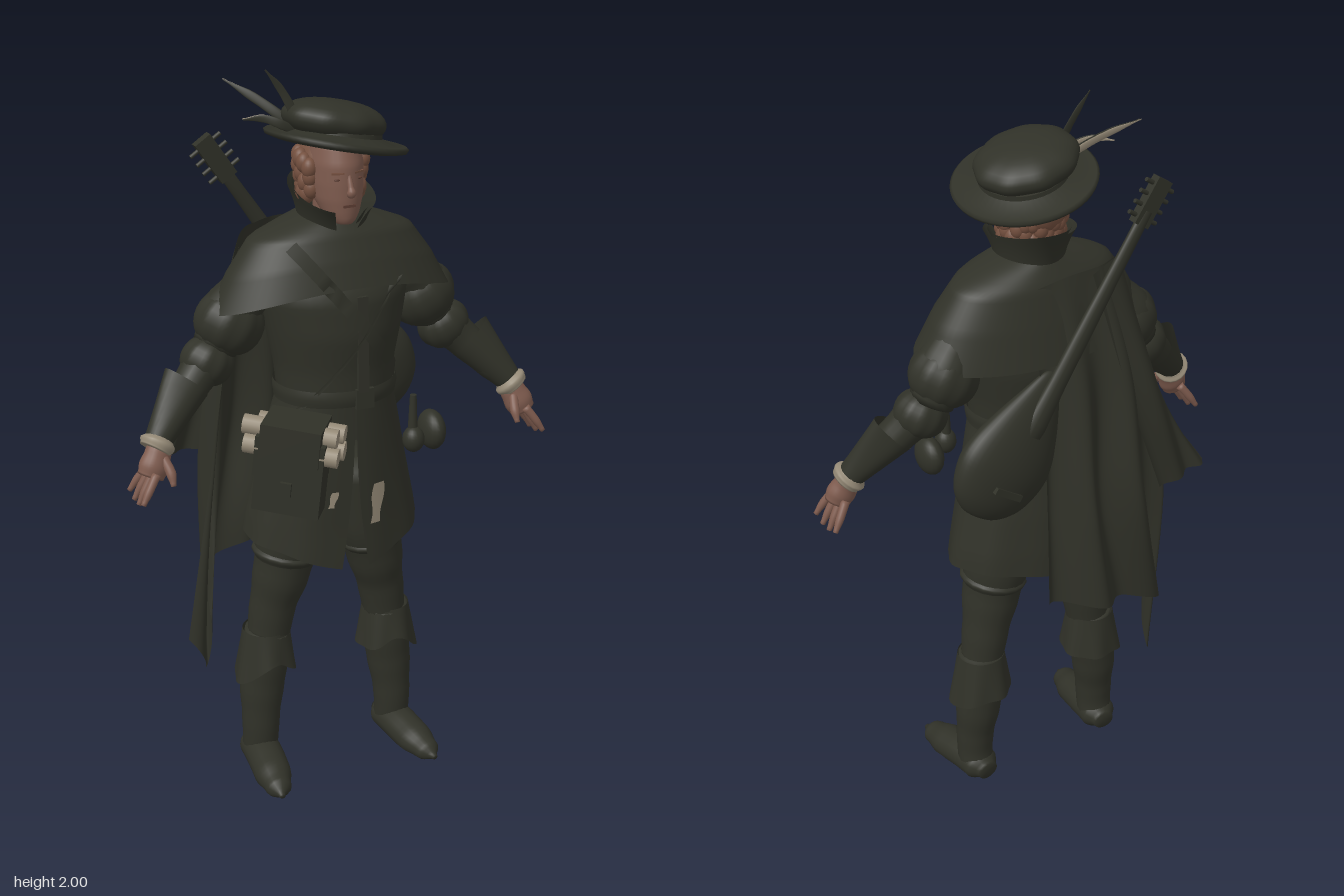
import * as THREE from 'three';
import { mergeVertices } from 'three/addons/utils/BufferGeometryUtils.js';

const mat = (name, color) => new THREE.MeshStandardMaterial({ name, color, side: THREE.DoubleSide });
const V = (a) => new THREE.Vector3(...a);
const { lerp } = THREE.MathUtils;
const TAU = Math.PI * 2;

export function createModel() {
  const root = new THREE.Group();
  const cloth = mat('dark olive cloth', 0x303128);
  const skin = mat('skin', 0x7e5b4e);
  const hairMat = mat('auburn hair', 0x74503f);
  const lipMat = mat('lips and brows', 0x5f3f34);
  const paper = mat('parchment', 0x958a77);

  const add = (name, geo, m, parent = root) => {
    const mesh = new THREE.Mesh(geo, m);
    mesh.name = name;
    parent.add(mesh);
    return mesh;
  };
  const ball = (name, m, p, s, parent = root) => {
    const b = add(name, new THREE.SphereGeometry(1, 20, 14), m, parent);
    b.position.set(...p); b.scale.set(...s);
    return b;
  };
  const box = (name, m, p, s, parent = root) => {
    const b = add(name, new THREE.BoxGeometry(...s), m, parent);
    b.position.set(...p);
    return b;
  };

  // Smooth surface from a rule f(u, v) -> [x, y, z]
  function grid(nu, nv, f) {
    const pos = [], idx = [];
    for (let j = 0; j <= nv; j++) for (let i = 0; i <= nu; i++) pos.push(...f(i / nu, j / nv));
    for (let j = 0; j < nv; j++) for (let i = 0; i < nu; i++) {
      const a = j * (nu + 1) + i, b = a + nu + 1;
      idx.push(a, b, a + 1, b, b + 1, a + 1);
    }
    let g = new THREE.BufferGeometry();
    g.setAttribute('position', new THREE.Float32BufferAttribute(pos, 3));
    g.setIndex(idx);
    g = mergeVertices(g, 1e-5);
    g.computeVertexNormals();
    return g;
  }

  // Round limb through points [x, y, z, radius], closed at both ends
  function limb(pts, { flat = 1, ref = [0, 0, 1], s = 1 } = {}) {
    const curve = new THREE.CatmullRomCurve3(pts.map(p => V(p)));
    const n = pts.length - 1, nv = n * 5 + 2;
    return grid(18, nv, (u, v) => {
      const j = Math.round(v * nv), t = Math.min(1, Math.max(0, (j - 1) / (nv - 2)));
      const k = Math.min(n - 1, Math.floor(t * n));
      const w = t * n - k;
      const r = j === 0 || j === nv ? 0 : lerp(pts[k][3], pts[k + 1][3], w * w * (3 - 2 * w));
      const tan = curve.getTangent(t), a = V(ref).cross(tan).normalize(), b = tan.clone().cross(a);
      const p = curve.getPoint(t).addScaledVector(a, r * Math.cos(u * TAU)).addScaledVector(b, r * flat * Math.sin(u * TAU));
      return [p.x * s, Math.max(0, p.y), p.z];
    });
  }

  // Cloth patch through rows of control points, with hanging folds
  function patch(rows, nu, nv, fold, waves, crest) {
    const curves = rows.map(r => new THREE.CatmullRomCurve3(r.map(V)));
    return grid(nu, nv, (u, v) => {
      const p = new THREE.CatmullRomCurve3(curves.map(c => c.getPoint(u))).getPoint(v);
      const f = -fold * Math.cos((u - crest) * waves * TAU) * Math.min(1, v * 1.4);
      return [p.x + f * 0.3, p.y, p.z + f];
    });
  }

  // Section tables [y, rx, rz, cz] and their interpolation
  const coat = [[1.6, .07, .07, 0], [1.56, .15, .09, 0], [1.5, .195, .12, .005], [1.42, .205, .15, .02], [1.32, .185, .155, .022],
    [1.22, .165, .14, .025], [1.14, .158, .135, .03], [1.05, .18, .145, .02], [.9, .213, .155, .01], [.78, .24, .16, .005], [.62, .265, .165, .005]];
  const mantleRows = [[1.62, .08, .085, 0], [1.597, .15, .1, 0], [1.567, .225, .118, 0], [1.48, .288, .145, .002], [1.385, .338, .17, .003]];
  const section = (rows, y) => {
    let k = 0;
    while (k < rows.length - 2 && rows[k + 1][0] > y) k++;
    const t = Math.min(1, Math.max(0, (rows[k][0] - y) / (rows[k][0] - rows[k + 1][0])));
    return [1, 2, 3].map(i => lerp(rows[k][i], rows[k + 1][i], t));
  };
  const around = (rows, y, th, grow = 1) => {
    const [rx, rz, cz] = section(rows, y);
    return [Math.sin(th) * rx * grow, y, cz + Math.cos(th) * rz * grow];
  };
  const frontZ = (rows, x, y) => {
    const [rx, rz, cz] = section(rows, y);
    return cz + rz * Math.sqrt(Math.max(0, 1 - (x / rx) ** 2));
  };

  // Doublet and split skirt
  add('doublet', grid(40, 24, (u, v) => around(coat, lerp(1.6, 1.13, v), u * TAU)), cloth);
  add('coatSkirt', grid(72, 18, (u, v) => {
    const d = 0.01 + 0.14 * v * v, th = lerp(d, TAU - d, u), c = Math.cos(th);
    const hem = .68 + .05 * Math.abs(Math.sin(th)) - .03 * Math.max(0, c) ** 4 + .02 * Math.max(0, -c);
    return around(coat, lerp(1.15, hem, v), th, 1.01 + .015 * v * Math.sin(th * 9));
  }), cloth);
  add('belt', grid(48, 4, (u, v) => around(coat, lerp(1.175, 1.13, v), u * TAU, 1.04 + .03 * Math.sin(v * Math.PI))), cloth);
  box('beltBuckle', cloth, [.02, 1.152, .176], [.05, .055, .012]);
  box('frontPlacket', cloth, [.015, 1.3, .172], [.03, .26, .012]).rotation.x = -.04;

  // Shoulder mantle and standing collar
  add('mantle', grid(64, 20, (u, v) => {
    const th = u * TAU, p = around(mantleRows, lerp(1.62, 1.385, v), th, 1 + .006 * v * Math.sin(th * 7));
    p[1] += v * (.07 * Math.max(0, Math.cos(th)) ** 2 - .02 * Math.max(0, -Math.cos(th)));
    return p;
  }), cloth);
  for (const off of [0, -.012])
    add('collar', grid(40, 8, (u, v) => {
      const th = lerp(.25 + .2 * v, TAU - .25 - .2 * v, u), c = Math.cos(th);
      const rx = .082 + .026 * v * v + off, rz = .092 + .05 * v * v + off;
      return [Math.sin(th) * rx, lerp(1.55, 1.675 - .03 * c, v), .01 + c * rz];
    }), cloth);

  // Crossing straps that follow the chest
  const strap = (name, a, b) => add(name, grid(1, 24, (u, v) => {
    const x = lerp(a[0], b[0], v) + (u - .5) * .028, y = lerp(a[1], b[1], v) + (u - .5) * .022;
    return [x, y, Math.max(frontZ(coat, x, y), y > 1.45 ? frontZ(mantleRows, x, y - .05) : 0) + .01];
  }), cloth);
  strap('instrumentStrap', [-.16, 1.57], [.15, 1.18]);
  strap('bagStrap', [.12, 1.46], [-.14, 1.12]);

  // Worn patches on the skirt
  for (const [x, y, w, h] of [[.063, .84, .042, .115], [-.066, .87, .022, .045]])
    add('skirtPatch', grid(6, 10, (u, v) => {
      const px = x + (u - .5) * w * (.8 + .2 * Math.sin(v * 6)) - (v - .5) * .012, py = y + (.5 - v) * h;
      return [px, py, frontZ(coat, px, py) * 1.025 + .006];
    }), paper);

  // Head
  const headRows = [[1.84, .03, .04, .02], [1.81, .062, .085, .02], [1.76, .07, .096, .026], [1.71, .068, .09, .034],
    [1.67, .062, .08, .044], [1.635, .048, .058, .063], [1.61, .028, .032, .085], [1.6, .001, .001, .085]];
  const head = new THREE.Group();
  head.name = 'head';
  root.add(head);
  add('face', grid(32, 28, (u, v) => around(headRows, lerp(1.84, 1.6, v), u * TAU)), skin, head);
  add('neck', limb([[0, 1.5, 0, .055], [0, 1.6, .01, .05], [0, 1.68, .02, .05]]), skin, head);
  add('nose', limb([[0, 1.74, .116, .006], [0, 1.71, .128, .008], [0, 1.695, .133, .012], [0, 1.688, .12, .008]]), skin, head);
  box('mouth', lipMat, [0, 1.659, .12], [.034, .007, .008], head);
  for (const s of [-1, 1]) {
    box('brow', hairMat, [s * .029, 1.744, .113], [.032, .005, .006], head).rotation.y = s * .35;
    ball('eye', lipMat, [s * .028, 1.728, .112], [.011, .004, .005], head);
    ball('ear', skin, [s * .07, 1.705, .02], [.01, .026, .016], head);
  }
  ball('hairCap', hairMat, [0, 1.745, -.005], [.086, .078, .095], head);
  for (let i = 0; i < 51; i++) {
    const th = lerp(1.15, TAU - 1.15, (i % 17) / 16), row = Math.floor(i / 17);
    ball('curl', hairMat, [Math.sin(th) * (.081 - row * .004), 1.755 - row * .038 + .012 * Math.sin(i * 2.3), .005 + Math.cos(th) * (.082 - row * .006)],
      [.021, .027, .021], head);
  }

  // Wide tilted hat with a puffed crown
  const hat = new THREE.Group();
  hat.name = 'hat';
  hat.position.set(.008, 1.795, .018);
  hat.rotation.set(-.1, 0, -.21);
  root.add(hat);
  const brim = add('brim', new THREE.LatheGeometry([[.07, .02], [.11, .012], [.16, -.004], [.183, .002], [.187, .012],
    [.18, .018], [.15, .014], [.1, .035]].map(p => new THREE.Vector2(...p)), 48), cloth, hat);
  brim.scale.z = 1.02;
  add('crown', grid(72, 16, (u, v) => {
    const th = u * TAU, ph = v * Math.PI, r = Math.sin(ph) ** .8 * (1 + .015 * Math.sin(th * 9) * Math.sin(ph));
    return [Math.sin(th) * r * .138 - .014, .06 + Math.cos(ph) * .052, Math.cos(th) * r * .122 + .002];
  }), cloth, hat);
  add('hatBand', new THREE.CylinderGeometry(.115, .12, .03, 40), cloth, hat).position.y = .025;

  // Feathers, dark in front with a pale back
  const feathers = [
    [[-.09, 1.82, .03, .006], [-.11, 1.89, .02, .012], [-.14, 1.95, .01, .01], [-.18, 2, .01, .002]],
    [[-.08, 1.83, 0, .006], [-.13, 1.875, -.03, .013], [-.18, 1.915, -.07, .012], [-.24, 1.955, -.12, .002]],
    [[-.09, 1.83, .02, .006], [-.14, 1.86, .02, .012], [-.18, 1.875, 0, .01], [-.225, 1.87, -.03, .002]],
  ];
  feathers.forEach((pts, i) => {
    add('feather', limb(pts, { flat: .25 }), cloth);
    if (i) add('featherBack', limb(pts.map(([x, y, z, r]) => [x, y + .001, z - .005, r * .85]), { flat: .25 }), paper);
  });

  // Arms, hands, legs and boots on both sides
  for (const s of [1, -1]) {
    const part = (name, pts, m = cloth, o = {}) => add(name, limb(pts, { s, ...o }), m);
    part('upperSleeve', [[.19, 1.46, 0, .055], [.235, 1.42, -.01, .068], [.28, 1.36, -.02, .08], [.32, 1.28, -.02, .06]]);
    for (const [x, y, z, r, l] of [[.278, 1.345, -.018, .095, .082], [.345, 1.25, -.01, .073, .062]]) {
      const puff = add('sleevePuff', grid(48, 14, (u, v) => {
        const ph = v * Math.PI, k = Math.sin(ph) ** .8 * r * (1 + .02 * Math.sin(u * TAU * 10));
        return [Math.sin(u * TAU) * k, Math.cos(ph) * l, Math.cos(u * TAU) * k * .92];
      }), cloth);
      puff.position.set(s * x, y, z);
      puff.rotation.z = s * .5;
    }
    part('forearm', [[.34, 1.26, -.01, .06], [.4, 1.2, .01, .05], [.46, 1.135, .04, .041], [.51, 1.085, .065, .032]]);
    // Flared bracer with a point at the elbow
    const axis = [V([.405, 1.2, .012]), V([.52, 1.078, .068])], dir = axis[1].clone().sub(axis[0]).normalize();
    const a = V([0, 0, 1]).cross(dir).normalize(), b = dir.clone().cross(a);
    add('bracer', grid(32, 6, (u, v) => {
      const th = u * TAU, r = lerp(.054, .035, v), tip = Math.max(0, Math.cos(th)) ** 4 * (1 - v);
      const p = axis[0].clone().lerp(axis[1], v).addScaledVector(a, r * Math.cos(th) + tip * .03).addScaledVector(b, r * Math.sin(th));
      return [p.x * s, p.y, p.z];
    }), cloth);
    part('cuffRuffle', [[.508, 1.09, .062, .036], [.517, 1.078, .068, .048], [.527, 1.065, .073, .042]], paper);
    part('palm', [[.505, 1.09, .064, .024], [.52, 1.055, .078, .03], [.535, 1.025, .086, .034], [.547, 1.0, .09, .03]], skin, { flat: 1.2, ref: [1, .4, 0] });
    for (let i = 0; i < 4; i++) {
      const z = .055 + i * .021, e = (i - 1.5) * .009, l = [.85, 1, 1, .85][i];
      part('finger', [[.54, 1.015, z, .012], [.565, 1.015 - .042 * l, z + e, .011], [.586, 1.012 - .078 * l, z + e * 1.6, .007]], skin);
    }
    part('thumb', [[.513, 1.05, .095, .013], [.503, 1.015, .125, .013], [.503, .985, .142, .007]], skin);

    part('thigh', [[.09, .9, -.01, .1], [.118, .72, -.008, .095], [.142, .6, -.01, .08], [.165, .5, -.018, .066], [.18, .4, -.02, .06]]);
    part('breechesHem', [[.128, .675, -.008, .08], [.132, .655, -.008, .094], [.137, .63, -.008, .08]]);
    part('bootShaft', [[.182, .42, -.02, .064], [.19, .32, -.026, .067], [.199, .24, -.026, .063], [.206, .15, -.02, .054], [.208, .08, -.02, .051], [.208, .03, -.03, .05]]);
    part('foot', [[.203, .035, -.085, .03], [.207, .04, -.045, .053], [.214, .036, .03, .053], [.223, .026, .1, .052], [.232, .018, .165, .037], [.238, .014, .205, .008]],
      cloth, { ref: [0, 1, 0], flat: .9 });
    add('bootCuff', grid(40, 6, (u, v) => {
      const th = u * TAU, side = Math.sin(th), r = lerp(.066, .083, v) + .004 * Math.sin(th * 6) * v;
      const y = lerp(.425, .3 - .03 * Math.max(0, side) ** 3 + .04 * Math.max(0, Math.cos(th)) ** 6, v);
      return [s * (.185 + side * r + .01 * v * Math.max(0, side)), y, -.024 + Math.cos(th) * r];
    }), cloth);
  }

  // Cape hung from the right shoulder, with a side flap
  add('cape', patch([
    [[.08, 1.56, -.11], [-.03, 1.58, -.12], [-.13, 1.58, -.115], [-.21, 1.565, -.07], [-.27, 1.5, .01]],
    [[.07, 1.3, -.155], [-.05, 1.28, -.18], [-.17, 1.3, -.175], [-.27, 1.25, -.13], [-.29, 1.25, -.03]],
    [[.07, 1, -.19], [-.05, .95, -.215], [-.18, .95, -.22], [-.3, .93, -.16], [-.32, .95, -.07]],
    [[.08, .66, -.22], [-.05, .625, -.24], [-.19, .59, -.24], [-.32, .5, -.15], [-.32, .28, -.09], [-.41, .42, -.06]],
  ], 80, 28, .03, 3.4, .21), cloth);
  add('capeFlap', patch([
    [[-.1, 1.57, -.13], [-.21, 1.57, -.08], [-.28, 1.49, .0]],
    [[-.17, 1.25, -.2], [-.29, 1.22, -.17], [-.31, 1.2, -.05]],
    [[-.28, .91, -.22], [-.38, .92, -.2], [-.455, .92, -.18]],
  ], 36, 20, .01, 2, .3), cloth);

  // Stringed instrument slung across the back
  const lute = new THREE.Group();
  lute.name = 'lute';
  lute.position.set(.175, 1.11, -.145);
  lute.rotation.z = .595;
  root.add(lute);
  const pear = [[0, -.16], [.06, -.15], [.115, -.105], [.143, -.03], [.138, .035], [.108, .11], [.068, .19], [.03, .26], [0, .27]];
  const outline = new THREE.SplineCurve(pear.map(p => new THREE.Vector2(...p))).getPoints(40);
  add('luteBody', new THREE.LatheGeometry(outline.map(p => new THREE.Vector2(Math.max(0, p.x), p.y)), 40), cloth, lute).scale.z = .45;
  add('luteNeck', limb([[0, .1, -.03, .034], [0, .3, -.026, .026], [0, .74, -.015, .018]], { flat: .7 }), cloth, lute);
  box('luteHead', cloth, [0, .765, -.012], [.05, .13, .026], lute);
  box('luteBridge', cloth, [0, -.06, -.062], [.09, .018, .014], lute);
  for (let i = 0; i < 4; i++) {
    const peg = add('tuningPeg', new THREE.CylinderGeometry(.006, .006, .1, 8), cloth, lute);
    peg.rotation.z = Math.PI / 2;
    peg.position.set(0, .72 + i * .03, -.012);
  }

  // Satchel with wrapped scrolls at the right hip
  const satchel = new THREE.Group();
  satchel.name = 'satchel';
  satchel.position.set(-.185, .98, .165);
  satchel.rotation.set(0, -.64, -.1);
  root.add(satchel);
  box('bag', cloth, [0, -.02, 0], [.18, .18, .085], satchel);
  box('bagFlap', cloth, [0, .05, .012], [.185, .11, .095], satchel);
  box('bagBuckle', cloth, [0, -.03, .06], [.03, .04, .01], satchel);
  for (const [y, z, l, x] of [[.072, .034, .25, 0], [.068, -.028, .26, 0], [.116, .014, .25, -.01], [.11, -.036, .23, .01]]) {
    const scroll = add('scroll', new THREE.CylinderGeometry(.026, .026, l, 16), paper, satchel);
    scroll.rotation.z = Math.PI / 2;
    scroll.position.set(x, y, z);
  }
  box('scrollWrap', cloth, [0, .095, 0], [.16, .1, .135], satchel);

  // Pouch and flask at the left hip
  ball('pouch', cloth, [.24, 1.01, .135], [.034, .055, .055]);
  ball('flask', cloth, [.165, 1.01, .175], [.03, .036, .03]);
  add('flaskNeck', new THREE.CylinderGeometry(.009, .014, .11, 14), cloth).position.set(.165, 1.08, .17);

  return root;
}
